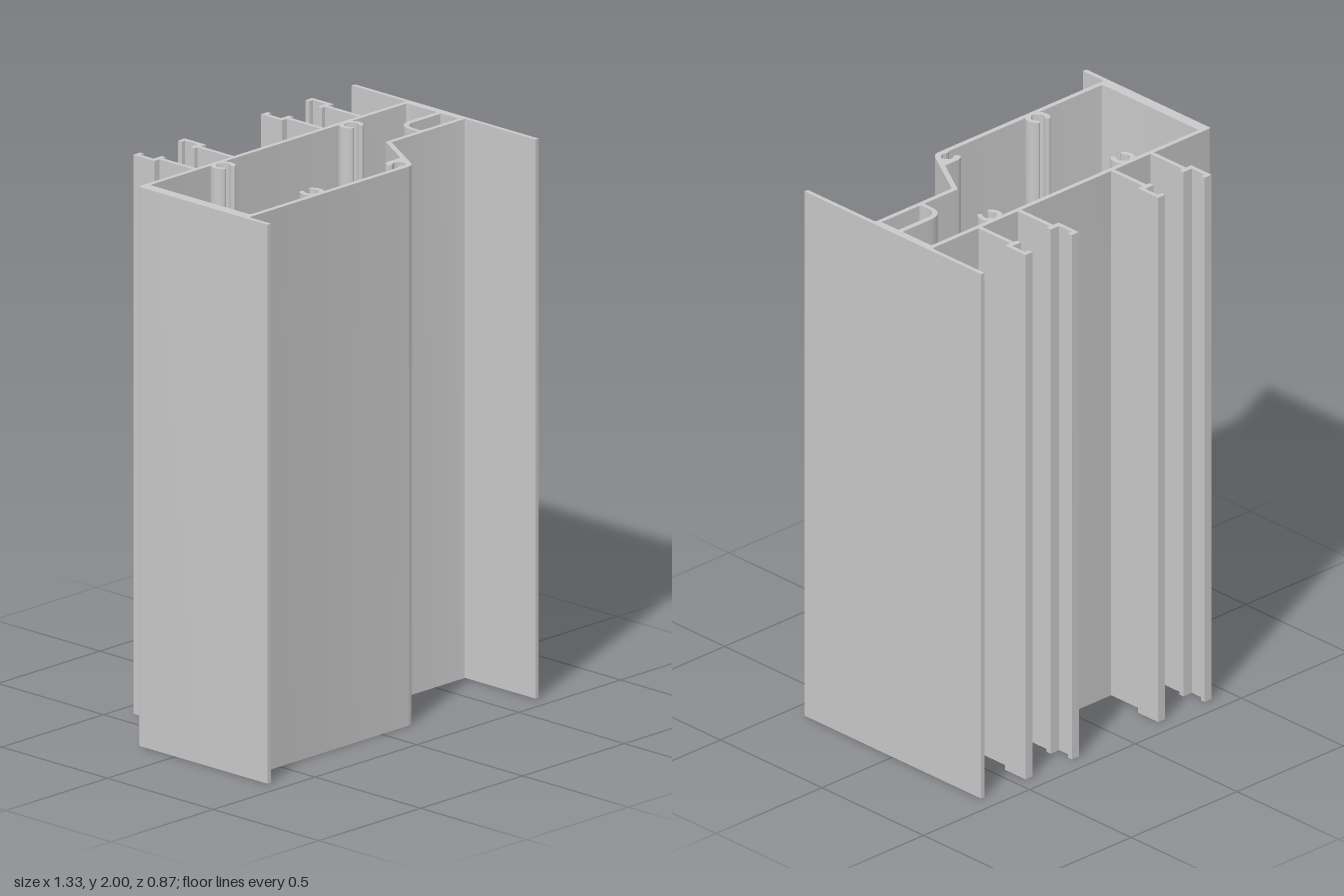
import * as THREE from 'three';
import { toCreasedNormals } from 'three/addons/utils/BufferGeometryUtils.js';

const HEIGHT = 2;
const aluminium = new THREE.MeshStandardMaterial({ color: 0xc8c8c8 });
aluminium.name = 'aluminium grey';

// Trace a closed plan outline of [x, z] points; a third number rounds that corner.
// A support point on each side of a rounded corner keeps the flat walls evenly shaded.
function trace(path, points) {
  const p = points.map(([x, z, r = 0]) => ({ v: new THREE.Vector2(x, -z), r }));
  const toward = (v, target, d) => v.clone().add(target.clone().sub(v).setLength(d));
  p.forEach(({ v, r }, i) => {
    const before = p[(i + p.length - 1) % p.length].v;
    const after = p[(i + 1) % p.length].v;
    const first = r ? toward(v, before, r + 0.0004) : v;
    if (i === 0) path.moveTo(first.x, first.y);
    else path.lineTo(first.x, first.y);
    if (r) {
      const a = toward(v, before, r), b = toward(v, after, r), last = toward(v, after, r + 0.0004);
      path.lineTo(a.x, a.y);
      path.quadraticCurveTo(v.x, v.y, b.x, b.y);
      path.lineTo(last.x, last.y);
    }
  });
  path.closePath();
  return path;
}

// Extrude a plan shape straight up from the ground, centred on the origin.
function extrude(name, shape) {
  const geometry = new THREE.ExtrudeGeometry(shape, { depth: HEIGHT, bevelEnabled: false, curveSegments: 8 });
  geometry.rotateX(-Math.PI / 2);
  geometry.translate(0.0015, 0, 0.0025);
  const mesh = new THREE.Mesh(toCreasedNormals(geometry, 0.6), aluminium);
  mesh.name = name;
  return mesh;
}

// Hollow body with its long side flange, short lip and two chambers.
// The outline runs counter-clockwise so that the chamber walls face inwards.
function body() {
  const shape = trace(new THREE.Shape(), [
    [-0.667, -0.18, 0.01], [-0.667, 0.432], [-0.65, 0.432], [-0.65, 0.33, 0.008],
    [0.153, 0.33, 0.026], [0.287, 0.1], [0.648, 0.1, 0.008], [0.648, 0.432],
    [0.664, 0.432], [0.664, -0.437], [0.648, -0.437], [0.648, -0.18, 0.014],
  ]);
  const mainChamber = trace(new THREE.Path(), [
    [-0.626, -0.162, 0.01], [0.635, -0.162, 0.01], [0.635, -0.02, 0.008], [0.435, -0.02, 0.068],
    [0.435, 0.082, 0.008], [0.276, 0.082], [0.143, 0.311], [-0.626, 0.311, 0.01],
  ]);
  const smallChamber = trace(new THREE.Path(), [
    [0.451, 0, 0.05], [0.635, 0, 0.008], [0.635, 0.082, 0.008], [0.451, 0.082, 0.008],
  ]);
  shape.holes.push(mainChamber, smallChamber);
  return extrude('hollowBody', shape);
}

// One of a pair of clip rails; side is -1 or 1 about the pair's centre
function clipRail(cx, side) {
  const profile = [
    [0.077, -0.179], [0.085, -0.18, 0.006], [0.085, -0.337], [0.07, -0.337], [0.07, -0.357],
    [0.11, -0.357], [0.11, -0.419], [0.093, -0.419], [0.093, -0.437], [0.126, -0.437],
    [0.126, -0.337], [0.101, -0.337], [0.101, -0.18, 0.006], [0.109, -0.179],
  ];
  return extrude('clipRail', trace(new THREE.Shape(), profile.map(([x, z]) => [cx + side * x, z])));
}

// Open screw channel with a pointed root; open is 1 when the gap faces +z, -1 when it faces -z
function screwChannel(cx, cz, open) {
  const outer = 0.043, inner = 0.025, mid = (outer + inner) / 2, tip = (outer - inner) / 2;
  const middle = -open * Math.PI / 2, root = middle + Math.PI;
  const start = middle + Math.PI / 4, end = middle + 2 * Math.PI - Math.PI / 4;
  const shape = new THREE.Shape();
  shape.absarc(cx, -cz, outer, start, end, false);
  shape.absarc(cx + mid * Math.cos(end), -cz + mid * Math.sin(end), tip, end, end + Math.PI, false);
  shape.absarc(cx, -cz, inner, end, root + 1.1, true);
  shape.lineTo(cx, -cz + open * 0.028);
  shape.absarc(cx, -cz, inner, root - 1.1, start, true);
  shape.absarc(cx + mid * Math.cos(start), -cz + mid * Math.sin(start), tip, start + Math.PI, start + 2 * Math.PI, false);
  return extrude('screwChannel', shape);
}

// Curled hook in the corner below the sloping wall
function cornerHook() {
  return extrude('cornerHook', trace(new THREE.Shape(), [
    [0.092, 0.258, 0.008], [0.112, 0.241, 0.016], [0.195, 0.241], [0.195, 0.251],
    [0.165, 0.303], [0.14, 0.325], [0.098, 0.32], [0.098, 0.311], [0.113, 0.304, 0.006],
    [0.13, 0.311, 0.006], [0.152, 0.297, 0.01], [0.152, 0.276, 0.01], [0.13, 0.261, 0.01],
    [0.106, 0.277, 0.008],
  ]));
}

export function createModel() {
  const model = new THREE.Group();
  model.name = 'extrudedFrameProfile';
  model.add(body(), cornerHook());

  for (const cx of [-0.2975, 0.3285]) {
    for (const side of [-1, 1]) model.add(clipRail(cx, side));
  }

  model.add(
    screwChannel(-0.296, -0.135, 1),
    screwChannel(0.332, -0.135, 1),
    screwChannel(-0.296, 0.285, -1),
  );
  return model;
}
